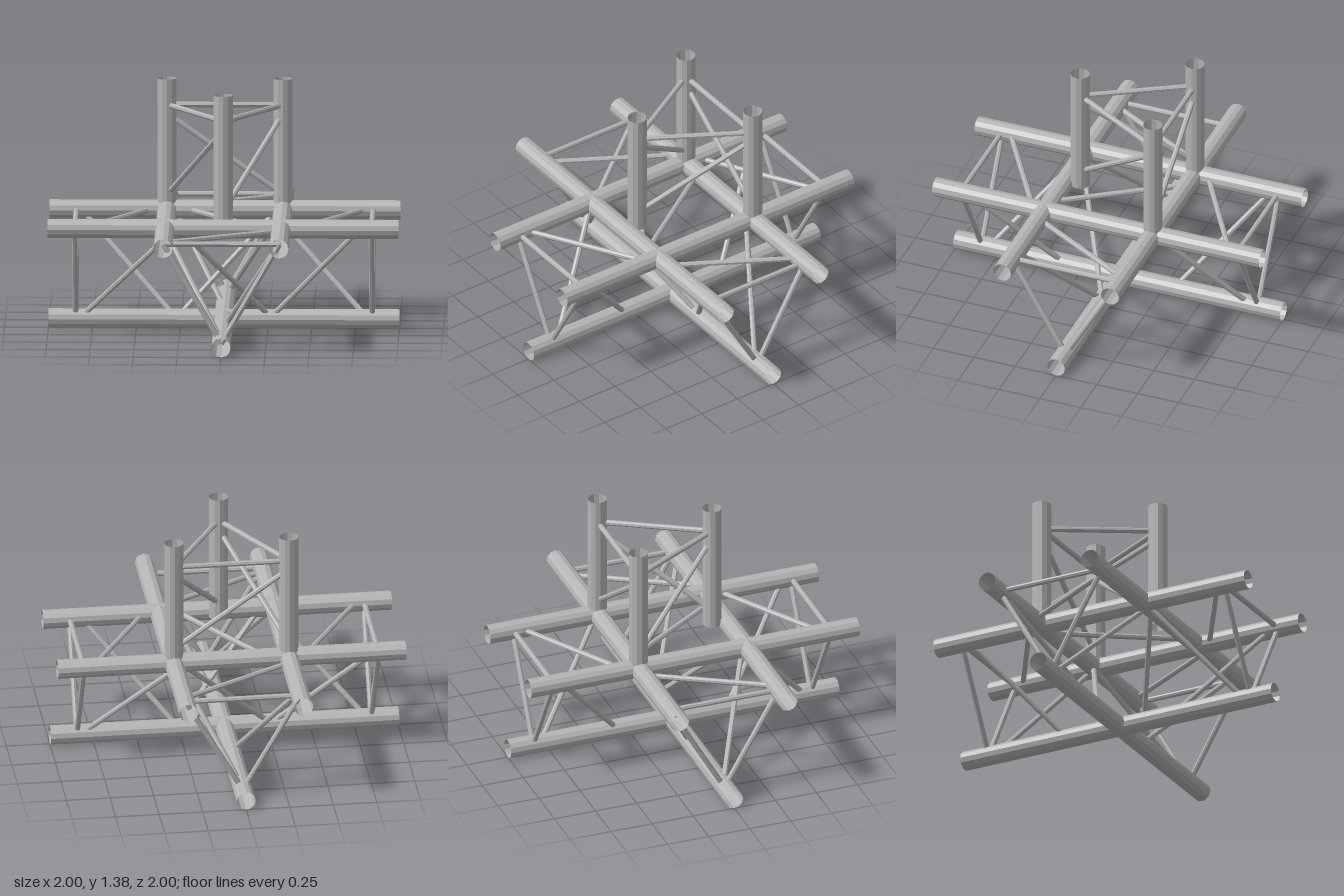
import * as THREE from 'three';

export function createModel() {
  const model = new THREE.Group();
  model.name = 'trussJunction';
  const metal = new THREE.MeshStandardMaterial({ color: 0xb4b4b4, side: THREE.DoubleSide, flatShading: true });
  metal.name = 'aluminium grey';

  const R = 0.055;            // chord radius
  const r = 0.016;            // brace radius
  const S = 0.33;             // half spacing of the chords
  const LOW = 0.055, TOP = 0.628;
  const UP = new THREE.Vector3(0, 1, 0);

  // Straight round bar between two points
  function bar(name, a, b, radius, sides, open, parent) {
    const p = new THREE.Vector3(...a), q = new THREE.Vector3(...b);
    const d = q.clone().sub(p);
    const mesh = new THREE.Mesh(new THREE.CylinderGeometry(radius, radius, d.length(), sides, 1, open), metal);
    mesh.position.copy(p).add(q).multiplyScalar(0.5);
    mesh.quaternion.setFromUnitVectors(UP, d.normalize());
    mesh.name = name;
    parent.add(mesh);
  }
  const chord = (name, a, b) => bar(name, a, b, R, 12, true, model);
  const braces = new THREE.Group();
  braces.name = 'braces';
  model.add(braces);
  const brace = (name, a, b) => bar(name, a, b, r, 8, false, braces);

  // Crossing open chords
  chord('lowerChordAcross', [-1, LOW, 0], [1, LOW, 0]);
  chord('lowerChordAlong', [0, LOW, -1], [0, LOW, 1]);
  for (const s of [-S, S]) {
    chord('upperChordAcross', [-1, TOP, s], [1, TOP, s]);
    chord('upperChordAlong', [s, TOP, -1], [s, TOP, 1]);
  }

  // Three upright posts
  const posts = [[-S, -S], [0, 0.243], [S, -S]];
  for (const [x, z] of posts) chord('post', [x, TOP, z], [x, 1.385, z]);

  // Triangular frame near the end of each arm
  for (const e of [-0.845, 0.845]) {
    brace('endBarAcross', [-S, TOP, e], [S, TOP, e]);
    brace('endBarAlong', [e, TOP, -S], [e, TOP, S]);
    for (const s of [-S, S]) {
      brace('endStrut', [0, LOW, e], [s, TOP, e]);
      brace('endStrut', [e, LOW, 0], [e, TOP, s]);
    }
  }

  // Bays along x: [lower, upper] for front side, back side, then flat diagonal [front, back]
  const bays = [
    [-0.82, -0.27, -0.27, -0.82, -0.80, -0.42],
    [0.275, -0.25, -0.27, 0.30, 0.23, -0.21],
    [0.26, 0.78, 0.82, 0.26, 0.42, 0.80],
  ];
  for (const [fl, fu, bl, bu, hf, hb] of bays) {
    brace('frontDiagonal', [fl, LOW, 0], [fu, TOP, S]);
    brace('backDiagonal', [bl, LOW, 0], [bu, TOP, -S]);
    brace('flatDiagonal', [hf, TOP, S], [hb, TOP, -S]);
  }

  // Bays along z: [lower, upper] for +x side, -x side, then flat diagonal [-x, +x]
  const arms = [
    [0.335, 0.80, 0.80, 0.33, 0.80, 0.40],
    [-0.80, -0.335, -0.335, -0.80, -0.41, -0.80],
  ];
  for (const [pl, pu, nl, nu, hn, hp] of arms) {
    brace('leftDiagonal', [0, LOW, pl], [S, TOP, pu]);
    brace('rightDiagonal', [0, LOW, nl], [-S, TOP, nu]);
    brace('flatDiagonal', [-S, TOP, hn], [S, TOP, hp]);
  }

  // Upright bay: ring bar and rising diagonal on each of the three sides
  posts.forEach(([x, z], i) => {
    const [x2, z2] = posts[(i + 1) % 3];
    brace('postBar', [x, 1.233, z], [x2, 1.233, z2]);
    brace('postDiagonal', [x, 0.715, z], [x2, 1.18, z2]);
  });

  return model;
}
